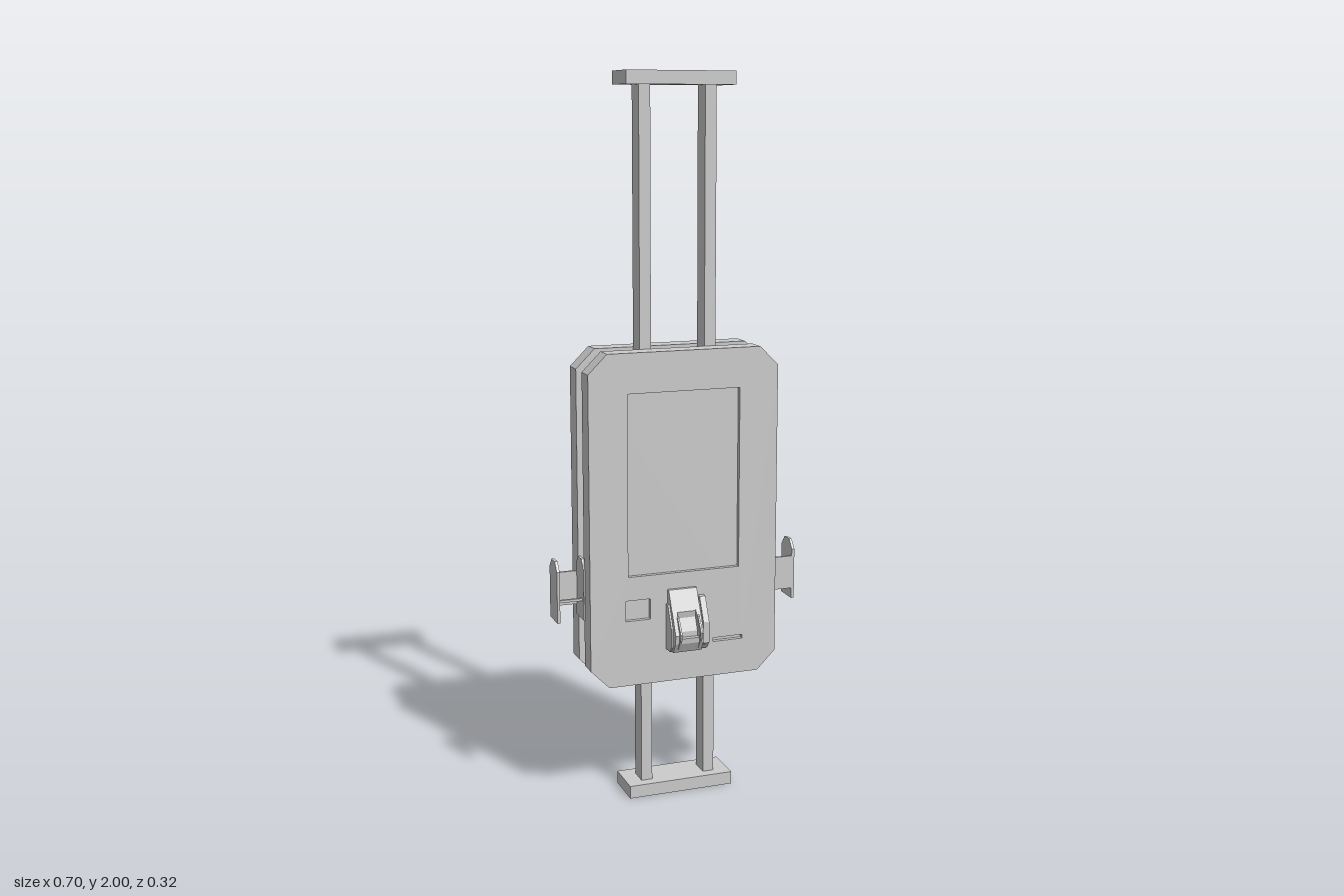
import * as THREE from 'three';

const grey = new THREE.MeshStandardMaterial({ color: 0xcccccc, flatShading: true });

function add(parent, geometry, name) {
  const mesh = new THREE.Mesh(geometry, grey);
  mesh.name = name;
  parent.add(mesh);
  return mesh;
}

// Box given by its limits on each axis
function box(parent, name, x0, x1, y0, y1, z0, z1) {
  const mesh = add(parent, new THREE.BoxGeometry(x1 - x0, y1 - y0, z1 - z0), name);
  mesh.position.set((x0 + x1) / 2, (y0 + y1) / 2, (z0 + z1) / 2);
  return mesh;
}

const toShape = (points) => new THREE.Shape(points.map(([a, b]) => new THREE.Vector2(a, b)));

// Rectangle with chamfered corners
function chamfered(w, y0, y1, c) {
  return toShape([[-w + c, y0], [w - c, y0], [w, y0 + c], [w, y1 - c],
    [w - c, y1], [-w + c, y1], [-w, y1 - c], [-w, y0 + c]]);
}

function rectHole(x0, x1, y0, y1) {
  return new THREE.Path([[x0, y0], [x0, y1], [x1, y1], [x1, y0]].map(([x, y]) => new THREE.Vector2(x, y)));
}

function slab(parent, name, shape, z0, z1) {
  const geometry = new THREE.ExtrudeGeometry(shape, { depth: z1 - z0, bevelEnabled: false });
  return add(parent, geometry.translate(0, 0, z0), name);
}

// Side profile of [z, y] points, extruded across x
function profile(parent, name, points, x0, x1) {
  const shape = toShape(points.map(([z, y]) => [-z, y]));
  const geometry = new THREE.ExtrudeGeometry(shape, { depth: x1 - x0, bevelEnabled: false });
  return add(parent, geometry.rotateY(Math.PI / 2).translate(x0, 0, 0), name);
}

// Reverse a geometry in z, keeping its faces outward
function mirrorZ(source) {
  const g = source.index ? source.toNonIndexed() : source.clone();
  g.scale(1, 1, -1);
  for (const attribute of Object.values(g.attributes)) {
    const { array, itemSize: n } = attribute;
    for (let i = 0; i < array.length; i += 3 * n) {
      for (let k = 0; k < n; k++) {
        const t = array[i + k];
        array[i + k] = array[i + n + k];
        array[i + n + k] = t;
      }
    }
  }
  g.computeVertexNormals();
  return g;
}

// Card reader with sloping head, side ridge and card guides
function cardReader() {
  const reader = new THREE.Group();
  reader.name = 'cardReader';
  profile(reader, 'readerBase', [[0.08, 0.57], [0.1, 0.57], [0.127, 0.51], [0.127, 0.455], [0.115, 0.44], [0.08, 0.44]], -0.055, 0.052);
  profile(reader, 'readerHead', [[0.08, 0.61], [0.093, 0.61], [0.12, 0.553], [0.117, 0.535], [0.133, 0.5],
    [0.133, 0.47], [0.12, 0.442], [0.08, 0.442]], -0.05, 0.032);
  profile(reader, 'readerRidge', [[0.08, 0.585], [0.1, 0.585], [0.131, 0.52], [0.131, 0.46], [0.118, 0.445], [0.08, 0.445]], 0.038, 0.055);
  const cheek = [[0.115, 0.56], [0.122, 0.553], [0.15, 0.495], [0.146, 0.47], [0.13, 0.442], [0.11, 0.442]];
  const guide = [[0.12, 0.545], [0.135, 0.54], [0.16, 0.5], [0.158, 0.485], [0.136, 0.45], [0.12, 0.455]];
  for (const [x0, x1] of [[-0.05, -0.036], [0.019, 0.032]]) profile(reader, 'readerCheek', cheek, x0, x1);
  for (const x of [-0.039, 0.02]) profile(reader, 'cardGuide', guide, x, x + 0.005);
  profile(reader, 'readerLip', [[0.125, 0.485], [0.148, 0.485], [0.146, 0.47], [0.13, 0.442], [0.118, 0.442]], -0.04, 0.022);
  return reader;
}

// Front panel with recessed screen, scanner window and ticket slot
function panelSide() {
  const side = new THREE.Group();
  side.name = 'frontSide';
  const outline = () => chamfered(0.272, 0.345, 1.27, 0.053);
  slab(side, 'panelBack', outline(), 0.027, 0.07);
  const face = outline();
  face.holes.push(rectHole(-0.163, 0.16, 0.655, 1.16), rectHole(-0.17, -0.1, 0.53, 0.588), rectHole(0.085, 0.172, 0.444, 0.455));
  slab(side, 'panelFace', face, 0.07, 0.083);
  side.add(cardReader());
  return side;
}

// Side bracket: two chamfered plates joined by a wall and a thin rod
function bracket() {
  const group = new THREE.Group();
  group.name = 'sideBracket';
  const plate = [[-0.036, 0.53], [-0.036, 0.675], [-0.016, 0.7], [0.016, 0.7], [0.036, 0.675], [0.036, 0.53]].reverse();
  profile(group, 'innerPlate', plate, 0.268, 0.276);
  profile(group, 'outerPlate', plate, 0.343, 0.351);
  box(group, 'bracketWall', 0.274, 0.345, 0.56, 0.655, 0.029, 0.036);
  box(group, 'bracketRod', 0.274, 0.345, 0.583, 0.59, -0.022, -0.014);
  return group;
}

// Shallow open tray at the end of the posts
function endTray(name) {
  const tray = new THREE.Group();
  tray.name = name;
  const t = 0.005, w = 0.153, d = 0.058, h = 0.036;
  box(tray, 'trayFloor', -w, w, 0, t, -d, d);
  for (const s of [-1, 1]) {
    box(tray, 'trayLongWall', -w, w, h / 2, h / 2 + h, -t / 2, t / 2).position.set(0, h / 2, s * (d - t / 2));
    box(tray, 'trayEndWall', -t / 2, t / 2, 0, h, -d + t, d - t).position.x = s * (w - t / 2);
  }
  return tray;
}

export function createModel() {
  const model = new THREE.Group();
  model.name = 'doubleSidedKiosk';

  // Core between the two panels
  slab(model, 'core', chamfered(0.25, 0.36, 1.25, 0.052), -0.028, 0.028);

  // Panels facing front and back
  const front = panelSide();
  const back = front.clone(true);
  back.name = 'backSide';
  back.traverse((o) => { if (o.isMesh) o.geometry = mirrorZ(o.geometry); });
  model.add(front, back);

  // Posts from floor to ceiling
  for (const x of [-0.093, 0.093]) box(model, 'post', x - 0.016, x + 0.016, 0.008, 1.992, -0.028, 0.028);

  // End trays open away from the kiosk
  const top = endTray('ceilingTray');
  top.position.y = 1.964;
  const foot = endTray('floorTray');
  foot.rotation.z = Math.PI;
  foot.position.y = 0.036;
  model.add(top, foot);

  // Brackets, turned half round on the opposite side
  const left = bracket();
  const right = bracket();
  right.rotation.y = Math.PI;
  model.add(left, right);
  return model;
}
